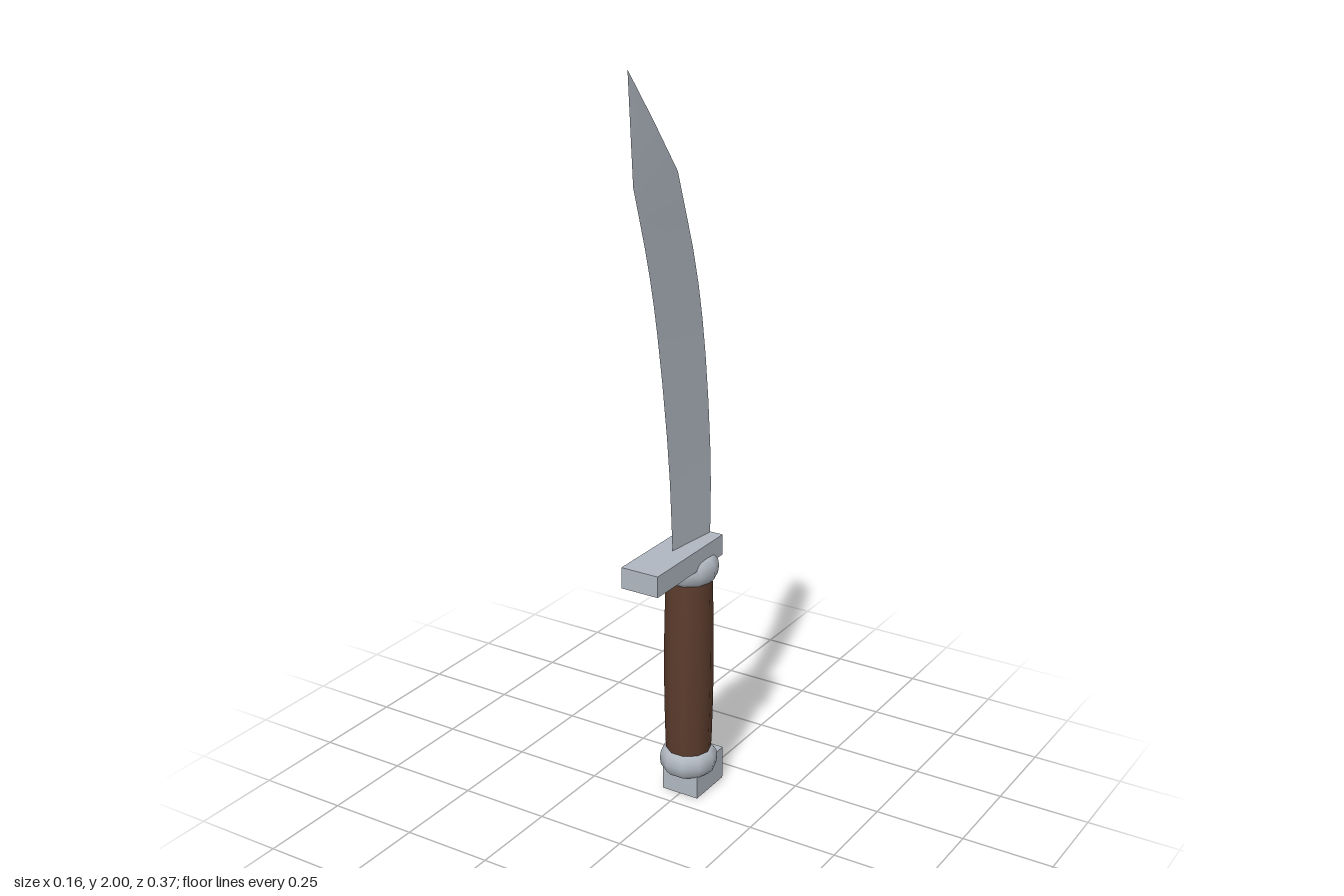
import * as THREE from 'three';
import { toCreasedNormals } from 'three/addons/utils/BufferGeometryUtils.js';

const steel = new THREE.MeshStandardMaterial({ name: 'steel', color: 0xb0b7c0 });
const brown = new THREE.MeshStandardMaterial({ name: 'brown leather', color: 0x5c3c2d });

const GRIP_Z = -0.093;

function addMesh(group, name, geometry, material, x, y, z) {
  const mesh = new THREE.Mesh(geometry, material);
  mesh.name = name;
  mesh.position.set(x, y, z);
  group.add(mesh);
  return mesh;
}

// Ten-sided turned part, with a corner pointing along x
function turned(profile) {
  const points = profile.map(([r, y]) => new THREE.Vector2(r, y));
  return new THREE.LatheGeometry(points, 10, Math.PI / 2);
}

// Wedge-shaped blade: flat spine at the back, sharp edge at the front
function bladeGeometry() {
  const curve = (pts) => new THREE.CatmullRomCurve3(pts.map(([y, z]) => new THREE.Vector3(0, y, z)));
  const spine = curve([[0.72, -0.169], [0.92, -0.17], [1.237, -0.14], [1.475, -0.093], [1.735, -0.005]]);
  const edge = curve([[0.72, -0.011], [0.988, 0.008], [1.343, 0.061], [1.528, 0.103], [1.724, 0.163]]);
  const sections = [];
  const steps = 10;
  for (let i = 0; i <= steps; i++) {
    const s = spine.getPoint(i / steps);
    const e = edge.getPoint(i / steps);
    sections.push([[-0.0175, s.y, s.z], [0.0175, s.y, s.z], [0, e.y, e.z]]);
  }
  // Tapering point
  sections.push([[-0.011, 1.87, 0.091], [0.011, 1.87, 0.091], [0, 1.862, 0.173]]);
  const tip = [0, 2, 0.183];

  const pos = [];
  const tri = (a, b, c) => pos.push(...a, ...b, ...c);
  tri(...sections[0]);
  for (let i = 0; i < sections.length; i++) {
    const low = sections[i];
    const high = sections[i + 1];
    for (let k = 0; k < 3; k++) {
      const n = (k + 1) % 3;
      if (high) {
        tri(low[k], high[k], low[n]);
        tri(low[n], high[k], high[n]);
      } else {
        tri(low[k], tip, low[n]);
      }
    }
  }
  const geometry = new THREE.BufferGeometry();
  geometry.setAttribute('position', new THREE.Float32BufferAttribute(pos, 3));
  return toCreasedNormals(geometry, 0.3);
}

export function createModel() {
  const group = new THREE.Group();
  group.name = 'curvedKnife';

  addMesh(group, 'blade', bladeGeometry(), steel, 0, 0, 0);

  // Crossguard and pommel blocks
  addMesh(group, 'guard', new THREE.BoxGeometry(0.109, 0.058, 0.319), steel, 0, 0.709, -0.0125);
  addMesh(group, 'pommel', new THREE.BoxGeometry(0.109, 0.095, 0.135), steel, 0, 0.0475, -0.1165);

  // Slightly barrelled grip
  const grip = turned([[0.06, 0.1], [0.063, 0.15], [0.066, 0.27], [0.067, 0.38], [0.066, 0.49], [0.063, 0.61], [0.06, 0.66]]);
  addMesh(group, 'grip', grip, brown, 0, 0, GRIP_Z);

  // Rounded collars at both ends of the grip
  const collar = turned([
    [0, -0.037], [0.046, -0.037], [0.064, -0.033], [0.076, -0.02], [0.079, 0],
    [0.076, 0.02], [0.064, 0.033], [0.046, 0.037], [0, 0.037],
  ]);
  addMesh(group, 'lowerCollar', collar, steel, 0, 0.093, GRIP_Z);
  addMesh(group, 'upperCollar', collar, steel, 0, 0.664, GRIP_Z);

  return group;
}
